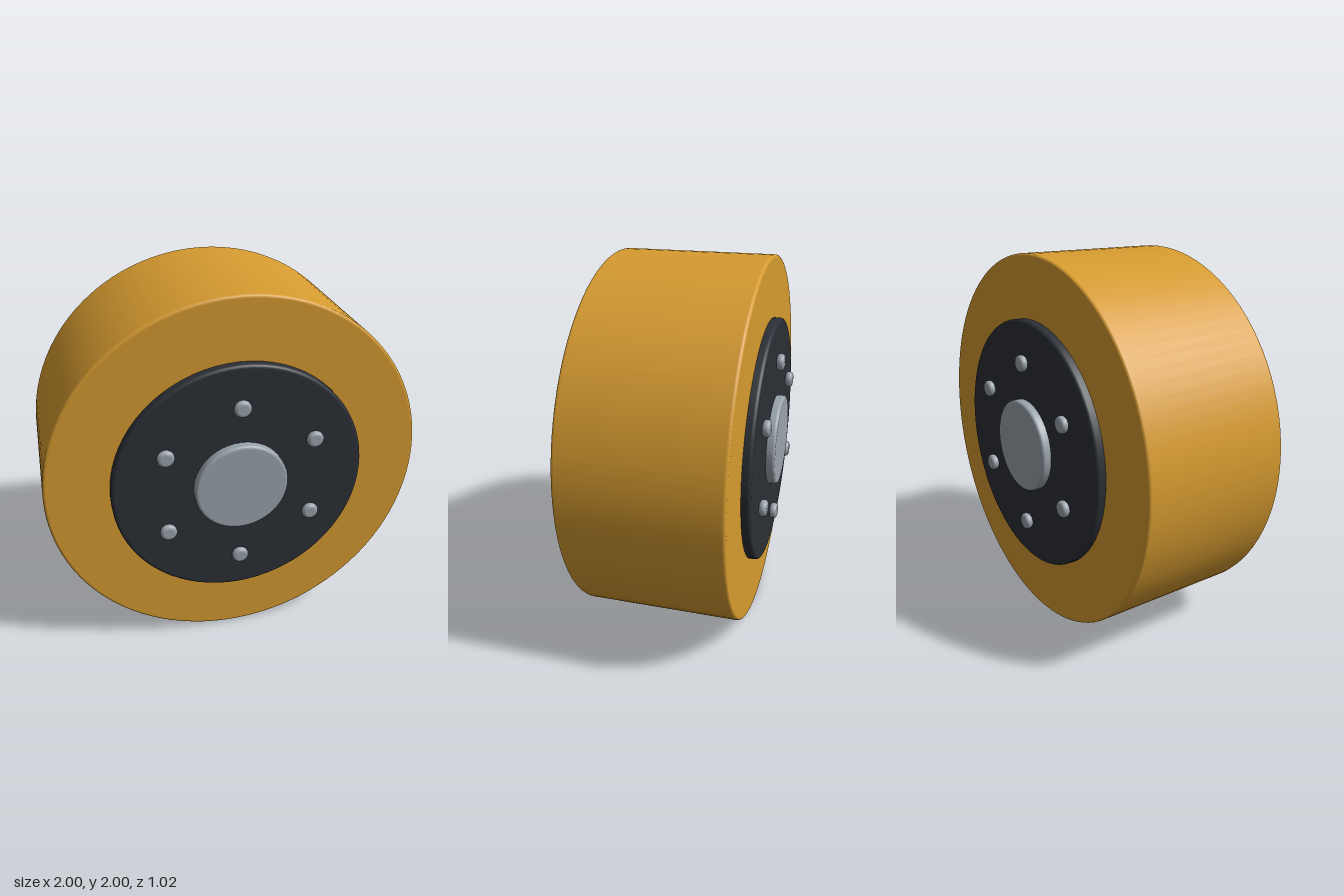
import * as THREE from 'three';

const material = (color) => new THREE.MeshStandardMaterial({ color });

// Solid disc along z with rounded rims, spanning z0..z1
function roundedDisc(radius, z0, z1, bevel, segments) {
  const pts = [new THREE.Vector2(0, z0)];
  const inner = radius - bevel;
  const steps = 5;
  pts.push(new THREE.Vector2(inner - 0.002, z0)); // keeps the flat face flat
  for (let i = 0; i <= steps; i++) {
    const a = (i / steps) * Math.PI / 2;
    pts.push(new THREE.Vector2(inner + bevel * Math.sin(a), z0 + bevel * (1 - Math.cos(a))));
  }
  // Short support edges keep the wall straight where it is long enough
  if (z1 - z0 > 2 * bevel + 0.01) {
    pts.push(new THREE.Vector2(radius, z0 + bevel + 0.002));
    pts.push(new THREE.Vector2(radius, z1 - bevel - 0.002));
  }
  for (let i = 0; i <= steps; i++) {
    const a = (i / steps) * Math.PI / 2;
    pts.push(new THREE.Vector2(inner + bevel * Math.cos(a), z1 - bevel * (1 - Math.sin(a))));
  }
  pts.push(new THREE.Vector2(inner - 0.002, z1));
  pts.push(new THREE.Vector2(0, z1));
  return new THREE.LatheGeometry(pts, segments).rotateX(Math.PI / 2);
}

export function createModel() {
  const wheel = new THREE.Group();
  wheel.name = 'wheel';
  const tyreColor = material(0xd69b30);
  const plateColor = material(0x2b2f36);
  const steel = material(0x9aa3ab);

  const add = (parent, name, geometry, mat) => {
    const mesh = new THREE.Mesh(geometry, mat);
    mesh.name = name;
    parent.add(mesh);
    return mesh;
  };

  // Wide solid tread
  add(wheel, 'tyre', roundedDisc(1, -0.415, 0.415, 0.015, 96), tyreColor);

  // Hub plate, axle cap and bolts, the same on both faces
  const boltGeometry = roundedDisc(0.045, 0.463, 0.505, 0.018, 24);
  for (const side of ['front', 'back']) {
    const hub = new THREE.Group();
    hub.name = side + 'Hub';
    add(hub, side + 'HubPlate', roundedDisc(0.67, 0.38, 0.463, 0.018, 72), plateColor);
    add(hub, side + 'AxleCap', roundedDisc(0.248, 0.44, 0.51, 0.015, 48), steel);
    for (let i = 0; i < 6; i++) {
      const a = Math.PI / 2 + (i * Math.PI) / 3;
      const bolt = add(hub, side + 'Bolt' + (i + 1), boltGeometry, steel);
      bolt.position.set(0.45 * Math.cos(a), 0.45 * Math.sin(a), 0);
    }
    if (side === 'back') hub.rotation.y = Math.PI;
    wheel.add(hub);
  }

  wheel.position.y = 1;
  const model = new THREE.Group();
  model.name = 'rollerWheel';
  model.add(wheel);
  return model;
}
